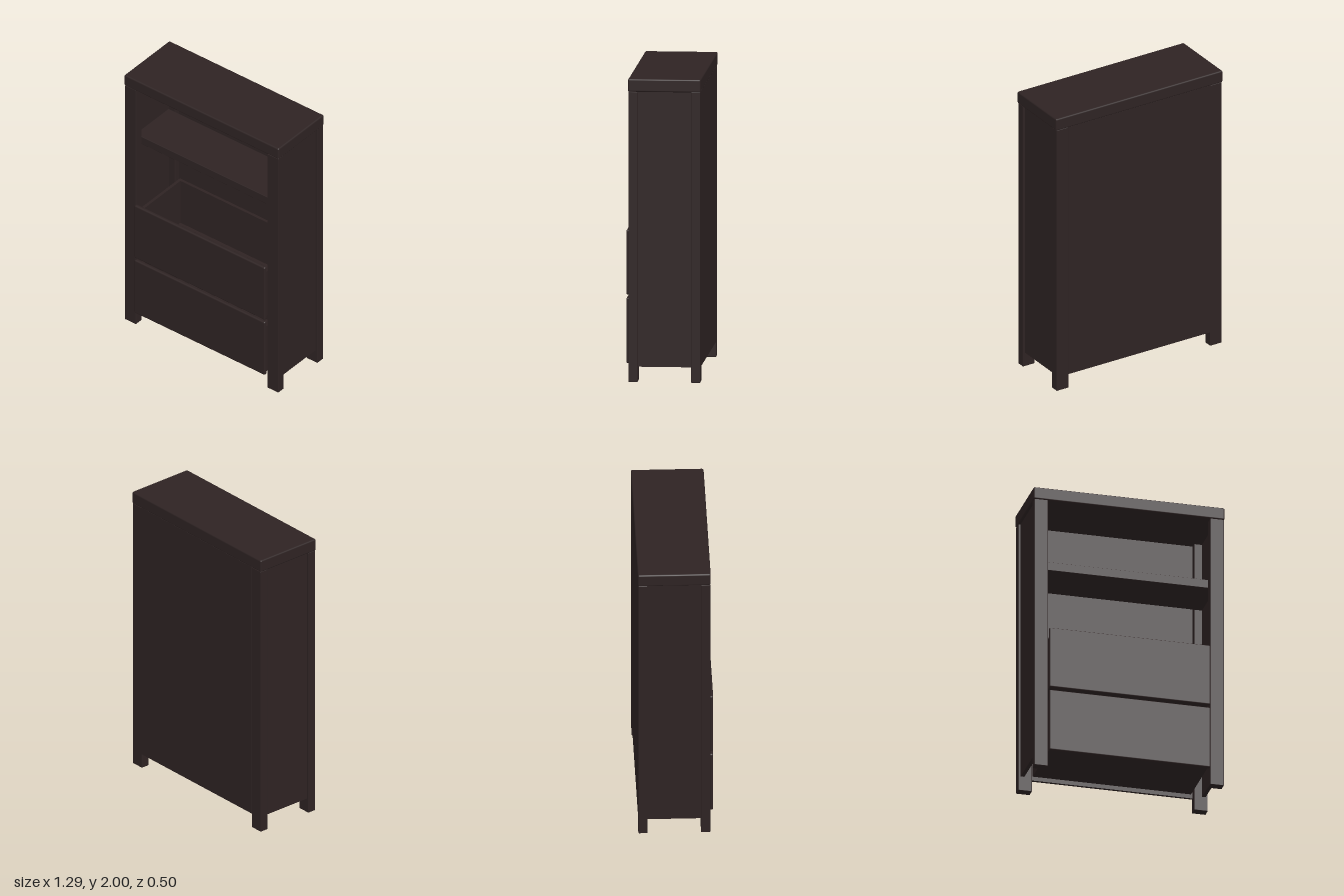
import * as THREE from 'three';
import { RoundedBoxGeometry } from 'three/addons/geometries/RoundedBoxGeometry.js';

export function createModel() {
  const group = new THREE.Group();
  group.name = 'bookcase';
  const wood = new THREE.MeshStandardMaterial({ name: 'dark stained wood', color: 0x2e2323 });

  // A board given by its limits on each axis; a radius softens its edges.
  function board(name, [x0, x1], [y0, y1], [z0, z1], radius = 0, parent = group) {
    const size = [x1 - x0, y1 - y0, z1 - z0];
    const geometry = radius
      ? new RoundedBoxGeometry(...size, 2, radius)
      : new THREE.BoxGeometry(...size);
    const mesh = new THREE.Mesh(geometry, wood);
    mesh.name = name;
    mesh.position.set((x0 + x1) / 2, (y0 + y1) / 2, (z0 + z1) / 2);
    parent.add(mesh);
    return mesh;
  }

  // Top slab
  board('top', [-0.645, 0.645], [1.915, 2], [-0.248, 0.228], 0.01);

  // Corner posts and recessed side panels
  for (const [side, s] of [['left', 1], ['right', -1]]) {
    const span = (a, b) => (s > 0 ? [a, b] : [-b, -a]);
    board(`${side}FrontPost`, span(0.548, 0.64), [0, 1.916], [0.165, 0.225], 0.004);
    board(`${side}BackPost`, span(0.548, 0.64), [0, 1.916], [-0.245, -0.185], 0.004);
    board(`${side}SidePanel`, span(0.6, 0.625), [0.1, 1.916], [-0.186, 0.166]);
  }

  // Back panel, flush with the back of the posts
  board('backPanel', [-0.55, 0.55], [0.1, 1.916], [-0.245, -0.227]);

  // Open shelf held between the side panels
  board('shelf', [-0.602, 0.602], [1.44, 1.5], [-0.185, 0.163], 0.004);

  // Drawers: an open box behind an overhanging front
  for (const [name, y0, y1] of [['lowerDrawer', 0.11, 0.543], ['upperDrawer', 0.562, 0.99]]) {
    const drawer = new THREE.Group();
    drawer.name = name;
    group.add(drawer);
    const walls = [y0 + 0.015, y1 - 0.05];
    board('drawerFront', [-0.545, 0.545], [y0, y1], [0.222, 0.248], 0.01, drawer);
    board('drawerBottom', [-0.535, 0.535], [y0 + 0.015, y0 + 0.035], [-0.22, 0.224], 0, drawer);
    board('drawerBack', [-0.535, 0.535], walls, [-0.22, -0.2], 0, drawer);
    board('drawerLeftWall', [0.515, 0.535], walls, [-0.2, 0.224], 0, drawer);
    board('drawerRightWall', [-0.535, -0.515], walls, [-0.2, 0.224], 0, drawer);
  }

  return group;
}
